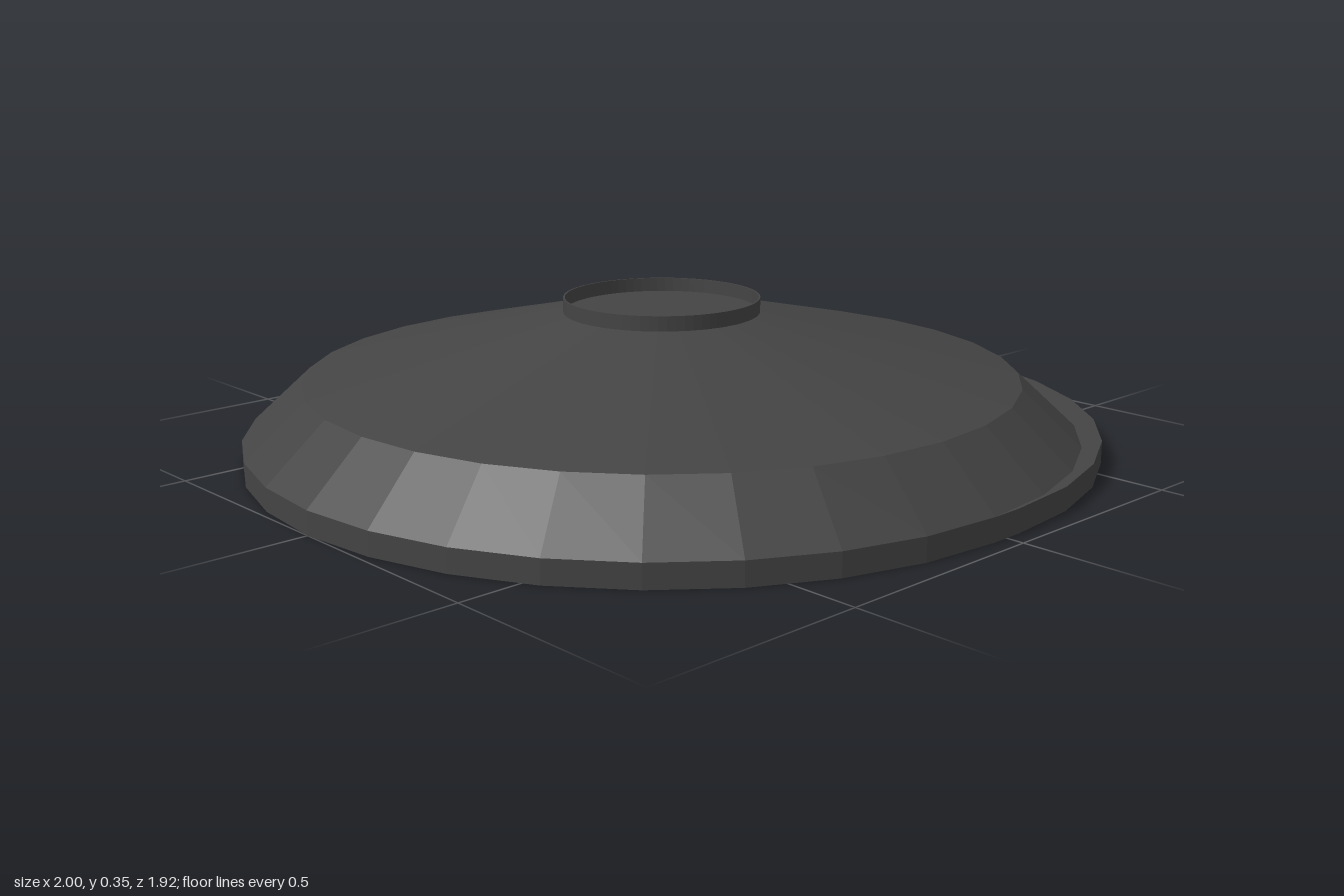
import * as THREE from 'three';
import { mergeGeometries } from 'three/addons/utils/BufferGeometryUtils.js';

const SIDES = 32; // faceted shell and rim
const ROUND = 72; // smooth collar and base plate
const R = 0.96;
const OFFSET = 0.04; // shell sits this far to one side, the rim spans both sides
const RIM_HEIGHT = 0.053;

export function createModel() {
  const group = new THREE.Group();
  const darkGrey = new THREE.MeshStandardMaterial({ color: 0x444444, side: THREE.DoubleSide });
  darkGrey.name = 'darkGrey';

  function add(name, geometry, x = 0, y = 0) {
    const mesh = new THREE.Mesh(geometry, darkGrey);
    mesh.name = name;
    mesh.position.set(x, y, 0);
    group.add(mesh);
  }

  // Revolve a profile of [radius, height] points, keeping every facet flat
  function turned(name, profile, sides) {
    const points = profile.map(([r, y]) => new THREE.Vector2(r, y));
    const geometry = new THREE.LatheGeometry(points, sides, Math.PI / 2).toNonIndexed();
    geometry.computeVertexNormals();
    add(name, geometry, -OFFSET);
  }

  // Shell: closed underside, steep shoulder, shallow cone
  turned('shell', [[0.001, RIM_HEIGHT], [R, RIM_HEIGHT], [0.825, 0.178], [0.227, 0.32]], SIDES);

  // Rim: each edge of the shell's outline swept sideways along x into a block
  const blocks = [];
  for (let i = 0; i < SIDES; i++) {
    const [a, b] = [i, i + 1].map((k) => (k / SIDES) * Math.PI * 2);
    const [ax, ay, bx, by] = [Math.cos(a), Math.sin(a), Math.cos(b), Math.sin(b)].map((v) => v * R);
    const outline = new THREE.Shape([
      new THREE.Vector2(ax - OFFSET, ay),
      new THREE.Vector2(ax + OFFSET, ay),
      new THREE.Vector2(bx + OFFSET, by),
      new THREE.Vector2(bx - OFFSET, by),
    ]);
    blocks.push(new THREE.ExtrudeGeometry(outline, { depth: RIM_HEIGHT, bevelEnabled: false }));
  }
  add('rim', mergeGeometries(blocks).rotateX(-Math.PI / 2));

  // Open collar on the crown with its recessed floor
  turned('collar', [[0.227, 0.315], [0.227, 0.354], [0.223, 0.354], [0.223, 0.322]], ROUND);
  turned('collarFloor', [[0.225, 0.322], [0.001, 0.322]], ROUND);

  // Round plate recessed inside the rim
  turned('basePlate', [[0.001, 0.043], [0.875, 0.043], [0.875, RIM_HEIGHT]], ROUND);

  // Small square pad beneath the plate
  add('basePad', new THREE.BoxGeometry(0.37, 0.01, 0.37), -OFFSET, 0.039);

  return group;
}
